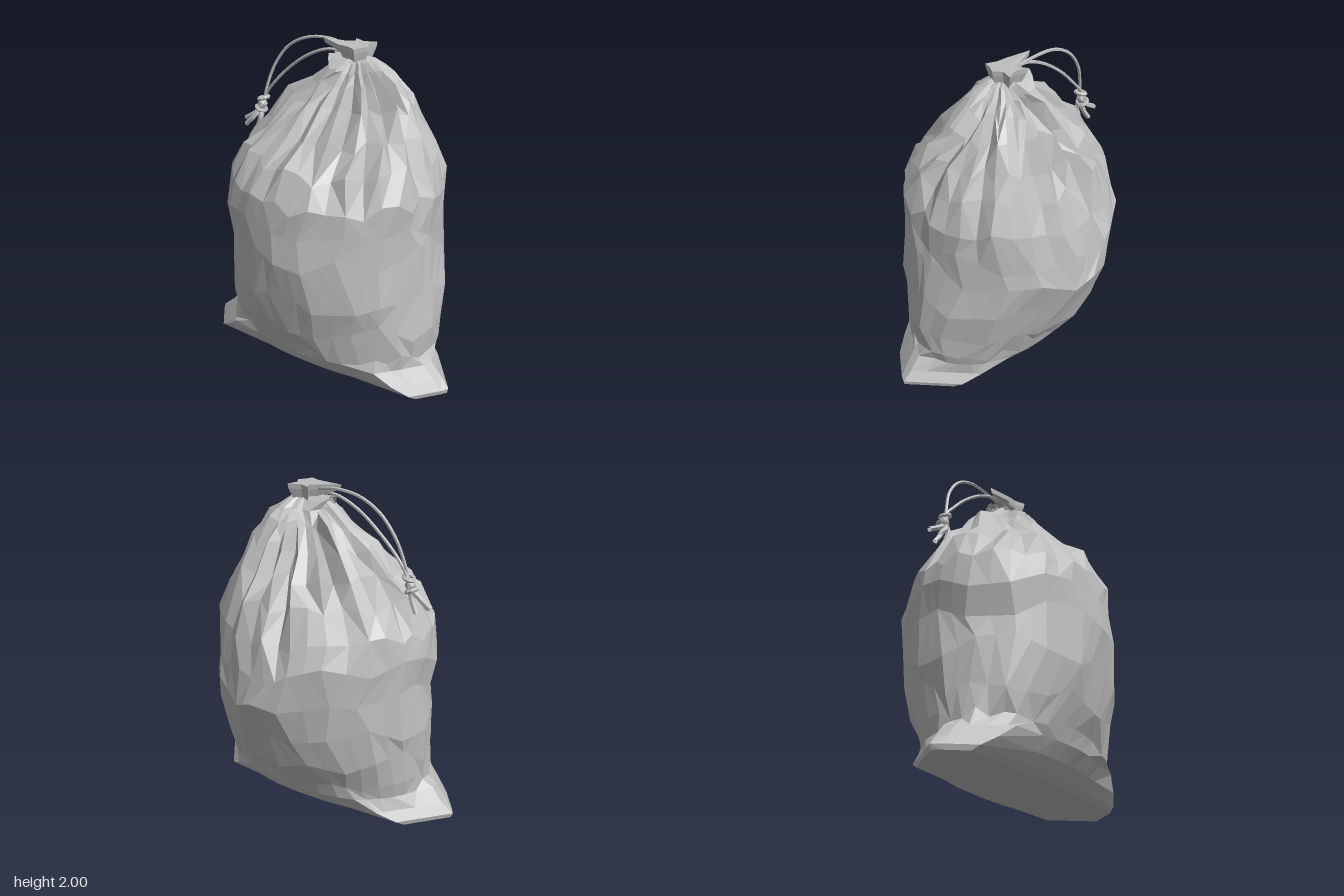
import * as THREE from 'three';

const { lerp, clamp, smoothstep } = THREE.MathUtils;

// Small seeded random
function makeRandom(seed) {
  let s = seed;
  return () => {
    s = (s * 16807) % 2147483647;
    return s / 2147483647;
  };
}

// Sack outline: height, min x, max x, back z, front z, reach of the bottom corners
const PROFILE = [
  [0.0, -0.58, 0.59, -0.16, 0.32, 0.865],
  [0.03, -0.61, 0.63, -0.22, 0.37, 0.875],
  [0.09, -0.64, 0.67, -0.3, 0.43, 0.825],
  [0.17, -0.665, 0.7, -0.37, 0.49, 0.755],
  [0.24, -0.675, 0.71, -0.41, 0.52, 0],
  [0.42, -0.685, 0.725, -0.51, 0.59, 0],
  [0.64, -0.68, 0.7, -0.59, 0.64, 0],
  [0.86, -0.665, 0.665, -0.675, 0.675, 0],
  [1.02, -0.695, 0.66, -0.65, 0.665, 0],
  [1.2, -0.665, 0.66, -0.61, 0.645, 0],
  [1.38, -0.57, 0.6, -0.54, 0.56, 0],
  [1.52, -0.46, 0.53, -0.45, 0.41, 0],
  [1.66, -0.34, 0.44, -0.35, 0.26, 0],
  [1.78, -0.19, 0.34, -0.26, 0.18, 0],
  [1.86, -0.06, 0.26, -0.2, 0.13, 0],
  [1.905, 0.01, 0.2, -0.13, 0.07, 0],
  [1.92, 0.05, 0.15, -0.08, 0.02, 0],
];

// Signed power, for squarer or slacker plans
const bend = (v, n) => Math.sign(v) * Math.abs(v) ** (2 / n);

// Point on one level of the sack
function surface([y, x0, x1, z0, z1, reach], a, scale) {
  const cx = (x0 + x1) / 2;
  const cz = lerp(0.12, (z0 + z1) / 2, clamp(y / 0.8, 0, 1));
  const c = Math.cos(a), s = Math.sin(a);
  let n = lerp(2.4, 1.95, clamp(y / 0.3, 0, 1));
  // One back quarter is slacker than the others
  if (c < 0 && s < 0) n = lerp(n, 1.65, smoothstep(y, 0.5, 0.9));
  const z = cz + (s > 0 ? z1 - cz : cz - z0) * bend(s, n) * scale;
  let x = cx + ((x1 - x0) / 2) * bend(c, n) * scale;
  // Pointed bottom corners
  const point = reach - 0.8 * Math.abs(z - 0.13);
  if (Math.abs(c) > 0.5) x = Math.sign(c) * Math.max(Math.abs(x), point);
  return new THREE.Vector3(x, y, z);
}

// Skin over closed rings of points, with a cap at each end
function loft(rings, flip = () => false) {
  const pos = [];
  const tri = (...pts) => pts.forEach((p) => pos.push(p.x, p.y, p.z));
  const n = rings[0].length;
  for (let j = 0; j < rings.length - 1; j++) {
    for (let i = 0; i < n; i++) {
      const k = (i + 1) % n;
      const a = rings[j][i], b = rings[j][k], c = rings[j + 1][i], d = rings[j + 1][k];
      if (flip(i, j)) { tri(a, c, d); tri(a, d, b); } else { tri(a, c, b); tri(b, c, d); }
    }
  }
  [rings[0], rings[rings.length - 1]].forEach((ring, end) => {
    const mid = ring.reduce((m, p) => m.add(p), new THREE.Vector3()).divideScalar(n);
    ring.forEach((p, i) => {
      const q = ring[(i + 1) % n];
      if (end) tri(mid, q, p); else tri(mid, p, q);
    });
  });
  const g = new THREE.BufferGeometry();
  g.setAttribute('position', new THREE.Float32BufferAttribute(pos, 3));
  g.computeVertexNormals();
  return g;
}

// Crumpled body: broad facets below, gathered pleats above
function sackGeometry() {
  const rand = makeRandom(4177);
  const N = 40;
  const depth = Array.from({ length: N }, () => 0.1 + 1.2 * rand());
  const start = Array.from({ length: N }, () => 1.0 + 0.35 * rand());
  const ridge = Array.from({ length: N }, () => 0.3 * rand());
  const rings = PROFILE.map((level, j) => {
    const y = level[0];
    const loose = y > 0.3 && y < 1.1;
    const ring = [];
    for (let i = 0; i < N; i++) {
      const r = rand() - 0.5, q = rand() - 0.5, v = rand() - 0.5;
      const a = (i / N) * Math.PI * 2 + q * (loose ? 0.16 : 0.04);
      const fold = Math.max(0, y - start[i]) * 0.42 * depth[i];
      let scale = 1 + r * (y > 0.2 ? 0.04 : 0.01);
      if (loose) scale += 0.008 * Math.sin(3 * a + 6 * y);
      scale *= i % 2 ? 1 - fold : 1 + fold * ridge[i];
      const p = surface(level, a, scale);
      if (y > 0.2 && y < 1.8) p.y += v * (loose ? 0.15 : 0.08);
      ring.push(p);
    }
    // Odd columns lie flat between their neighbours on the middle of the body
    if (loose) {
      for (let i = 1; i < N; i += 2) {
        ring[i].lerpVectors(ring[i - 1], ring[(i + 1) % N], 0.5);
      }
    }
    return ring;
  });
  return loft(rings, (i, j) => (Math.floor(i / 2) * 7 + j * 5) % 3 === 0);
}

export function createModel() {
  const model = new THREE.Group();
  model.name = 'drawstringSack';
  const cloth = new THREE.MeshStandardMaterial({ color: 0xbebebe, flatShading: true, side: THREE.DoubleSide });
  cloth.name = 'grey cloth';
  const add = (name, geometry, parent = model) => {
    const mesh = new THREE.Mesh(geometry, cloth);
    mesh.name = name;
    parent.add(mesh);
    return mesh;
  };
  const V = (p) => new THREE.Vector3(...p);

  add('sackBody', sackGeometry());

  // Gathered mouth: narrow neck opening to a ragged, flat rim
  const rim = [[0.18, -0.02], [0.15, 0.03], [0.14, 0.07], [0.08, 0.04], [0.01, 0.03], [-0.13, -0.02],
    [0.0, -0.06], [0.05, -0.09], [0.02, -0.14], [0.09, -0.11], [0.165, -0.14], [0.145, -0.07]];
  const mouth = [[1.87, 0.6], [1.92, 0.8], [1.96, 0.95], [1.99, 1]].map(([y, s], j) =>
    rim.map(([x, z], i) => {
      const k = j < 2 ? Math.max(x, 0.0) : x;
      return new THREE.Vector3(0.1 + (k - 0.1) * s, y + (j > 1 && i === 5 ? 0.01 : 0), -0.03 + (z + 0.03) * s);
    }));
  add('gatheredMouth', loft(mouth));

  // Drawstring: two cords, a knot and frayed ends
  const cord = new THREE.Group();
  cord.name = 'drawstring';
  model.add(cord);
  const tube = (name, pts, r) =>
    add(name, new THREE.TubeGeometry(new THREE.CatmullRomCurve3(pts.map(V)), pts.length * 4, r, 5), cord);
  tube('upperCord', [[0.04, 1.96, -0.05], [-0.12, 1.985, -0.07], [-0.28, 1.965, -0.07], [-0.42, 1.89, -0.07],
    [-0.52, 1.76, -0.06], [-0.57, 1.62, -0.04], [-0.59, 1.53, -0.03]], 0.01);
  tube('lowerCord', [[0.04, 1.94, -0.02], [-0.1, 1.935, -0.02], [-0.25, 1.87, -0.02], [-0.4, 1.76, -0.03],
    [-0.51, 1.65, -0.03], [-0.57, 1.58, -0.04], [-0.6, 1.52, -0.04]], 0.01);
  const knot = add('cordKnot', new THREE.IcosahedronGeometry(0.035, 0), cord);
  knot.position.set(-0.605, 1.5, -0.03);
  knot.scale.set(0.9, 1.3, 1);
  [[1.54, 0.3], [1.47, -0.4]].forEach(([y, tilt], i) => {
    const wrap = add('knotWrap', new THREE.TorusGeometry(0.032, 0.013, 5, 9), cord);
    wrap.position.set(-0.595 - i * 0.02, y, -0.03);
    wrap.rotation.set(Math.PI / 2, tilt, 0);
  });
  [[-0.74, 1.38, -0.03], [-0.7, 1.36, 0.02], [-0.66, 1.345, -0.05], [-0.62, 1.36, 0.0]].forEach((end) => {
    const mid = [(end[0] - 0.6) / 2 + 0.01, (end[1] + 1.48) / 2, end[2] * 0.7];
    tube('cordEnd', [[-0.605, 1.48, -0.03], mid, end], 0.016);
  });

  return model;
}
